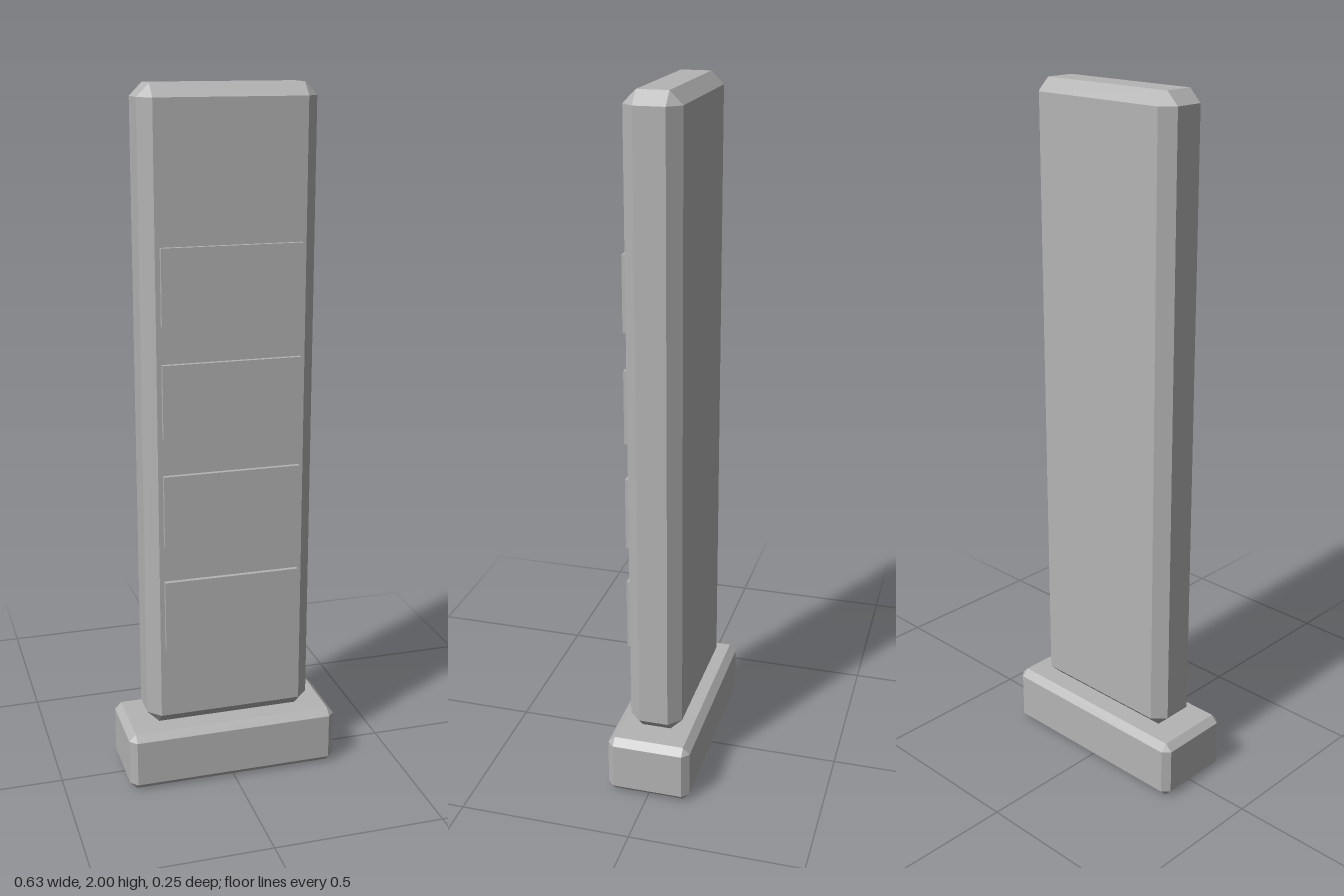
import * as THREE from 'three';
import { ConvexGeometry } from 'three/addons/geometries/ConvexGeometry.js';

// Box with every edge chamfered by c, spanning y0..y1 and centred on x and z
function chamferedBox(width, depth, y0, y1, c) {
  const hx = width / 2, hy = (y1 - y0) / 2, hz = depth / 2;
  const points = [];
  for (const sx of [-1, 1]) for (const sy of [-1, 1]) for (const sz of [-1, 1]) {
    points.push(
      new THREE.Vector3(sx * hx, sy * (hy - c), sz * (hz - c)),
      new THREE.Vector3(sx * (hx - c), sy * hy, sz * (hz - c)),
      new THREE.Vector3(sx * (hx - c), sy * (hy - c), sz * hz)
    );
  }
  return new ConvexGeometry(points).translate(0, (y0 + y1) / 2, 0);
}

export function createModel() {
  const model = new THREE.Group();
  const grey = new THREE.MeshStandardMaterial({ color: 0xb4b4b4 });
  grey.name = 'plain grey';

  function add(name, geometry) {
    const mesh = new THREE.Mesh(geometry, grey);
    mesh.name = name;
    model.add(mesh);
    return mesh;
  }

  // Wide foot and tall slab
  add('basePlate', chamferedBox(0.63, 0.245, 0, 0.176, 0.02));
  add('body', chamferedBox(0.492, 0.155, 0.176, 2, 0.035));

  // Four raised panels on the front
  for (let i = 0; i < 4; i++) {
    const panel = add('frontPanel' + (i + 1), new THREE.BoxGeometry(0.395, 0.21, 0.025));
    panel.position.set(0, 0.53 + i * 0.316, 0.078);
  }
  return model;
}
